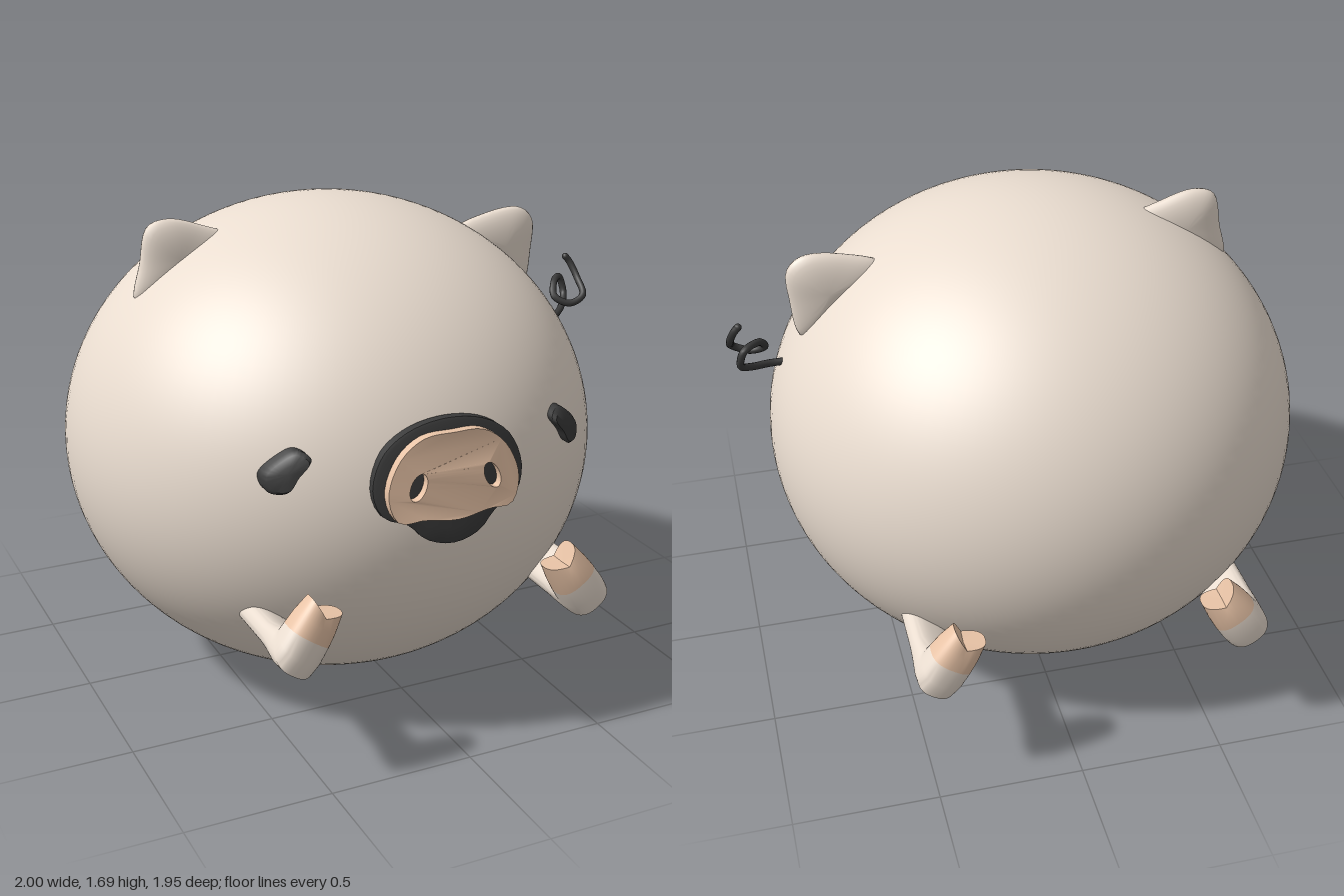
import * as THREE from 'three';
import { toCreasedNormals } from 'three/addons/utils/BufferGeometryUtils.js';

const CX = -0.055; // the body's own mirror plane
const BODY = { x: -0.06, y: 0.855, z: -0.005, rx: 0.94, ry: 0.845, rz: 0.94 };

const cream = new THREE.MeshStandardMaterial({ color: 0xeaddd0 });
const pink = new THREE.MeshStandardMaterial({ color: 0xe8c3a6 });
const dark = new THREE.MeshStandardMaterial({ color: 0x3a3a3a });

function add(group, name, geometry, material) {
  const mesh = new THREE.Mesh(geometry, material);
  mesh.name = name;
  group.add(mesh);
  return mesh;
}

// Skins a list of equal-length closed rings of Vector3
function skin(rings, flip = false, crease = 0.7) {
  const n = rings[0].length, pos = [], index = [];
  rings.forEach(r => r.forEach(p => pos.push(p.x, p.y, p.z)));
  for (let i = 0; i < rings.length - 1; i++) {
    for (let j = 0; j < n; j++) {
      const k = (j + 1) % n;
      const a = i * n + j, b = i * n + k, c = a + n, d = b + n;
      if (flip) index.push(a, d, b, a, c, d);
      else index.push(a, b, d, a, d, c);
    }
  }
  const g = new THREE.BufferGeometry();
  g.setAttribute('position', new THREE.Float32BufferAttribute(pos, 3));
  g.setIndex(index);
  return toCreasedNormals(g, crease);
}

// Smooth counter-clockwise closed outline through a few points
function outline(points, n = 48) {
  const curve = new THREE.CatmullRomCurve3(points.map(([x, y]) => new THREE.Vector3(x, y, 0)), true);
  const pts = curve.getSpacedPoints(n).slice(0, n).map(p => new THREE.Vector2(p.x, p.y));
  return THREE.ShapeUtils.isClockWise(pts) ? pts.reverse() : pts;
}

// Outline swept through [scale, height] steps; place(x, y, h) gives z
function pillow(points, steps, place, crease) {
  const pts = outline(points);
  const c = pts.reduce((s, p) => s.add(p), new THREE.Vector2()).divideScalar(pts.length);
  return skin(steps.map(([s, h]) => pts.map(p => {
    const x = c.x + (p.x - c.x) * s, y = c.y + (p.y - c.y) * s;
    return new THREE.Vector3(x, y, place(x, y, h));
  })), false, crease);
}

const mirror = pts => pts.map(([x, y]) => [2 * CX - x, y]);

// z of the body's front, and of the tilted, slightly bowed snout plate
const bodyZ = (x, y) => BODY.z + BODY.rz * Math.sqrt(
  Math.max(0, 1 - ((x - BODY.x) / BODY.rx) ** 2 - ((y - BODY.y) / BODY.ry) ** 2));
const snoutZ = (x, y) => 0.922 - 0.14 * (y - 0.98) - 0.25 * (x - CX) ** 2;

function addEars(group) {
  const dome = [];
  for (let i = 0; i <= 16; i++) {
    const t = (i / 16 - 0.5) * Math.PI;
    dome.push([Math.cos(t), 0.05 * Math.sin(t)]);
  }
  const place = (x, y, h) => h - 0.008;
  const left = [[0.45, 1.52], [0.58, 1.575], [0.72, 1.585], [0.775, 1.54], [0.775, 1.43], [0.74, 1.28], [0.58, 1.38]];
  const right = [[-0.76, 1.4], [-0.74, 1.53], [-0.71, 1.65], [-0.64, 1.672], [-0.52, 1.64], [-0.4, 1.58], [-0.58, 1.45]];
  add(group, 'leftEar', pillow(left, dome, place, 1.5), cream);
  add(group, 'rightEar', pillow(right, dome, place, 1.5), cream);
}

function addEyes(group) {
  const eye = [[0.375, 1.085], [0.41, 1.11], [0.46, 1.085], [0.515, 1.025], [0.5, 0.98], [0.45, 0.98], [0.415, 1.03]];
  const steps = [[1, -0.03], [1, 0.028], [0.85, 0.042], [0.4, 0.046], [0, 0.047]];
  const place = (x, y, h) => bodyZ(x, y) + h;
  add(group, 'leftEye', pillow(eye, steps, place), dark);
  add(group, 'rightEye', pillow(mirror(eye), steps, place), dark);
}

function addSnout(group) {
  // half outlines from top to bottom, mirrored to the other side
  const whole = half => [[CX, half[0][1]], ...half.slice(1, -1), [CX, half[half.length - 1][1]],
    ...mirror(half.slice(1, -1)).reverse()];
  const rim = whole([[0, 1.18], [0.08, 1.155], [0.17, 1.09], [0.21, 0.98], [0.18, 0.895], [0.1, 0.86], [0.04, 0.805], [0, 0.78]]);
  const disc = whole([[0, 1.145], [0.05, 1.138], [0.13, 1.08], [0.175, 0.97], [0.145, 0.885], [0.06, 0.883], [0, 0.868]]);

  // dark backing plate
  const steps = [[0, -0.025], [1, -0.025], [1, 0.004], [0.96, 0.008], [0.75, 0.01], [0.5, 0.012], [0.25, 0.014], [0, 0.014]];
  add(group, 'snoutRim', pillow(rim, steps, (x, y, h) => snoutZ(x, y) + h), dark);

  // pink disc pierced by two nostrils
  const shape = new THREE.Shape(outline(disc));
  for (const s of [-1, 1]) {
    const hole = new THREE.Path();
    hole.absellipse(CX + s * 0.13, 0.988, 0.026, 0.045, 0, Math.PI * 2, false, s * 0.45);
    shape.holes.push(hole);
  }
  let g = new THREE.ExtrudeGeometry(shape, { depth: 0.037, bevelEnabled: false, curveSegments: 20 });
  const p = g.attributes.position;
  for (let i = 0; i < p.count; i++) p.setZ(i, p.getZ(i) + snoutZ(p.getX(i), p.getY(i)) + 0.002);
  g = toCreasedNormals(g, 0.7);
  add(group, 'snoutDisc', g, pink);
}

// One leg: horizontal stub that bends up into a cleft hoof
function addLeg(group, name, sx, sz) {
  const roll = 0.6, c = Math.cos(roll), s = Math.sin(roll), n = 40;
  // [up, forward, tilt in degrees, half thickness, half width, cleft]
  const ring = ([u, f, tilt, t, w, cleft = 0]) => {
    const a = tilt * Math.PI / 180, pts = [];
    for (let i = 0; i < n; i++) {
      const q = i / n * Math.PI * 2;
      const soft = v => Math.sign(v) * Math.abs(v) ** 0.75;
      const X = w * soft(Math.cos(q)), N = t * soft(Math.sin(q));
      const U = u + N * Math.cos(a) - cleft * (1 - Math.abs(soft(Math.cos(q))));
      const F = f - N * Math.sin(a);
      pts.push(new THREE.Vector3(CX + sx * (0.525 + X * c - U * s), 0.48 + X * s + U * c, sz * F));
    }
    return pts;
  };
  const top = [0.07, 0.9, 90, 0.066, 0.078];
  const stub = [[0, 0.5, 0, 0.042, 0.075], [0, 0.78, 0, 0.044, 0.078], [0, 0.83, 12, 0.05, 0.08],
    [-0.002, 0.87, 30, 0.066, 0.08], [0, 0.895, 48, 0.083, 0.08], [0.025, 0.9, 70, 0.074, 0.08], top];
  const hoof = [top, [0.12, 0.9, 90, 0.062, 0.073], [0.185, 0.9, 90, 0.05, 0.062, 0.035], [0.145, 0.9, 90, 0, 0]];
  const leg = new THREE.Group();
  leg.name = name;
  add(leg, 'stub', skin(stub.map(ring), sx * sz < 0, 1), cream);
  add(leg, 'hoof', skin(hoof.map(ring), sx * sz < 0, 0.8), pink);
  group.add(leg);
}

function addTail(group) {
  const path = new THREE.CatmullRomCurve3([
    [0.78, 1.155, 0.05], [0.86, 1.16, 0.04], [0.92, 1.18, 0], [0.96, 1.22, -0.05], [0.945, 1.28, -0.06],
    [0.89, 1.28, -0.01], [0.87, 1.235, 0.03], [0.92, 1.21, 0.06], [0.975, 1.235, 0.06],
    [0.985, 1.29, 0], [0.97, 1.345, -0.035], [0.955, 1.365, -0.04],
  ].map(p => new THREE.Vector3(...p)));
  add(group, 'tail', new THREE.TubeGeometry(path, 120, 0.013, 10), dark);
  const tip = add(group, 'tailTip', new THREE.SphereGeometry(0.013, 10, 8), dark);
  tip.position.copy(path.getPoint(1));
}

export function createModel() {
  const model = new THREE.Group();
  model.name = 'roundPig';

  // plump body
  const body = add(model, 'body', new THREE.SphereGeometry(1, 96, 64), cream);
  body.scale.set(BODY.rx, BODY.ry, BODY.rz);
  body.position.set(BODY.x, BODY.y, BODY.z);

  addEars(model);
  addEyes(model);
  addSnout(model);
  addTail(model);
  for (const [side, sx] of [['Left', 1], ['Right', -1]]) {
    addLeg(model, 'front' + side + 'Leg', sx, 1);
    addLeg(model, 'back' + side + 'Leg', sx, -1);
  }
  return model;
}
